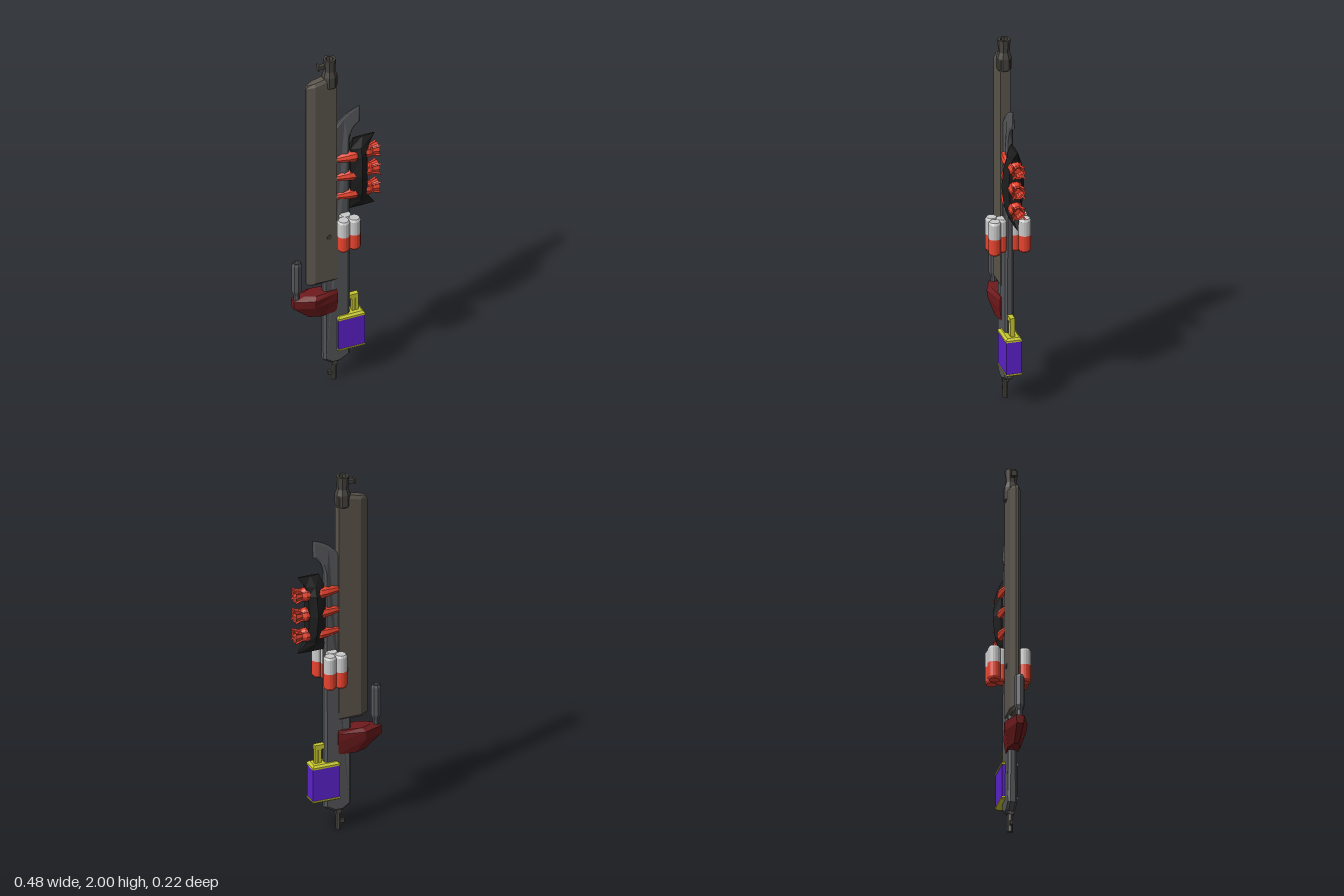
import * as THREE from 'three';

const mat = (color) => new THREE.MeshStandardMaterial({ color, flatShading: true, side: THREE.DoubleSide });
const M = {
  body: mat(0x5b554c), steel: mat(0x55565a), dark: mat(0x47443f), black: mat(0x1e1e1e),
  maroon: mat(0x6e1a1c), red: mat(0xe8432e), white: mat(0xcccccc), purple: mat(0x5c22cc), yellow: mat(0xc8c832),
};

function add(parent, name, geometry, material, x = 0, y = 0, z = 0) {
  const mesh = new THREE.Mesh(geometry, material);
  mesh.name = name;
  mesh.position.set(x, y, z);
  parent.add(mesh);
  return mesh;
}

// Skin closed rings of [x, y, z], listed bottom to top, counterclockwise from above
function loft(rings) {
  const n = rings[0].length, pos = [];
  const tri = (...p) => p.forEach((v) => pos.push(...v));
  for (let r = 0; r < rings.length - 1; r++) {
    for (let i = 0; i < n; i++) {
      const j = (i + 1) % n, a = rings[r], b = rings[r + 1];
      tri(a[i], a[j], b[j]);
      tri(a[i], b[j], b[i]);
    }
  }
  const lo = rings[0], hi = rings[rings.length - 1];
  for (let i = 1; i < n - 1; i++) {
    tri(hi[0], hi[i], hi[i + 1]);
    tri(lo[0], lo[i + 1], lo[i]);
  }
  const g = new THREE.BufferGeometry();
  g.setAttribute('position', new THREE.Float32BufferAttribute(pos, 3));
  g.computeVertexNormals();
  return g;
}

// Six-sided ring: right end, widest point and left end, mirrored in z
const hexRing = (y, [x0, z0], [x1, z1], [x2, z2]) =>
  [[x0, y, z0], [x0, y, -z0], [x1, y, -z1], [x2, y, -z2], [x2, y, z2], [x1, y, z1]];

// Bevelled plate centred on z = 0
function plate(shape, depth, bevel) {
  const g = new THREE.ExtrudeGeometry(shape, {
    depth: depth - 2 * bevel, bevelEnabled: true, bevelThickness: bevel,
    bevelSize: bevel, bevelOffset: -bevel, bevelSegments: 1, curveSegments: 8,
  });
  return g.translate(0, 0, -depth / 2 + bevel);
}

const lathe = (pts, n) => new THREE.LatheGeometry(pts.map((p) => new THREE.Vector2(...p)), n);

function buildStock(root) {
  // Long frame rising into a curved horn
  const s = new THREE.Shape();
  s.moveTo(-0.07, 0.14);
  s.lineTo(-0.025, 0.11);
  s.lineTo(0.02, 0.11);
  s.lineTo(0.075, 0.14);
  s.lineTo(0.075, 1.46);
  s.quadraticCurveTo(0.085, 1.55, 0.135, 1.565);
  s.lineTo(0.135, 1.66);
  s.quadraticCurveTo(0.05, 1.64, 0, 1.57);
  s.lineTo(-0.07, 1.5);
  const g = plate(s, 0.048, 0.012);
  const p = g.attributes.position;
  for (let i = 0; i < p.count; i++) {
    // Thin the horn towards its tip
    const t = THREE.MathUtils.clamp((p.getY(i) - 1.42) / 0.24, 0, 1);
    p.setZ(i, p.getZ(i) * (1 - 0.8 * t));
  }
  g.computeVertexNormals();
  add(root, 'stockFrame', g, M.steel);

  // Tail peg
  add(root, 'tailCollar', new THREE.BoxGeometry(0.03, 0.09, 0.036), M.dark, -0.006, 0.14);
  add(root, 'tailPeg', new THREE.CylinderGeometry(0.016, 0.015, 0.12, 8), M.dark, -0.006, 0.06);
  add(root, 'tailStud', new THREE.BoxGeometry(0.022, 0.022, 0.014), M.dark, -0.027, 0.042);
}

function buildBarrel(root) {
  // Wedge-backed housing with a sloping top
  const ring = (yRight, yLeft, inset) =>
    hexRing(0, [0, 0.027 - inset], [-0.12, 0.027 - inset], [-0.163 + inset, 0.007])
      .map(([x, , z]) => [x, yRight + (yLeft - yRight) * (-x / 0.163), z]);
  add(root, 'barrelHousing', loft([
    ring(0.62, 0.62, 0.014), ring(0.635, 0.638, 0), ring(1.888, 1.85, 0), ring(1.905, 1.868, 0.01),
  ]), M.body);
  const screw = add(root, 'housingScrew', new THREE.CylinderGeometry(0.014, 0.014, 0.06, 10), M.dark, -0.042, 0.905);
  screw.rotation.x = Math.PI / 2;

  // Hollow octagonal muzzle
  const muzzle = add(root, 'muzzle', lathe([
    [0.022, 1.82], [0.039, 1.835], [0.04, 1.9], [0.029, 1.93], [0.034, 2.0], [0.021, 2.0], [0.02, 1.9], [0, 1.9],
  ], 8), M.dark, -0.03);
  muzzle.rotation.y = Math.PI / 8;
  add(root, 'sightArm', new THREE.BoxGeometry(0.035, 0.018, 0.022), M.dark, -0.075, 1.962);
  add(root, 'sightTab', new THREE.BoxGeometry(0.009, 0.03, 0.03), M.dark, -0.093, 1.962);
}

function buildGrip(root) {
  // Faceted bracket carrying an upright handle
  add(root, 'gripBracket', loft([
    hexRing(0.43, [0, 0.022], [-0.09, 0.032], [-0.15, 0.012]),
    hexRing(0.505, [0.004, 0.032], [-0.135, 0.054], [-0.235, 0.018]),
    hexRing(0.55, [0.004, 0.032], [-0.135, 0.06], [-0.235, 0.02]),
    hexRing(0.567, [0, 0.025], [-0.12, 0.04], [-0.175, 0.016]),
  ]), M.maroon);
  add(root, 'gripHandle', lathe([
    [0, 0.53], [0.017, 0.53], [0.017, 0.58], [0.027, 0.61], [0.027, 0.765], [0.021, 0.78], [0.015, 0.78], [0.012, 0.77], [0, 0.77],
  ], 8), M.steel, -0.213);
}

function buildShells(root) {
  // Three spare shells on each side
  for (const side of [-1, 1]) {
    for (const [x, z] of [[0.012, 0.079], [0.072, 0.079], [0.042, 0.035]]) {
      const shell = new THREE.Group();
      shell.name = 'spareShell';
      shell.position.set(x, 0, z * side);
      add(shell, 'shellCap', lathe([[0.033, 0.94], [0.033, 1.02], [0.026, 1.032], [0, 1.032]], 16), M.white);
      add(shell, 'shellBase', lathe([[0, 0.848], [0.026, 0.848], [0.033, 0.86], [0.033, 0.94]], 16), M.red);
      root.add(shell);
    }
  }
}

function buildRack(root) {
  // Rack swelling at the middle, drawn out to spikes at both ends
  const half = [[0, 0.075, 0.125, 0.165, 0.06], [0.11, 0.075, 0.13, 0.168, 0.048], [0.16, 0.08, 0.13, 0.178, 0.032], [0.215, 0.1, 0.15, 0.217, 0.006]];
  const rows = [...half.slice(1).reverse().map(([y, ...r]) => [-y, ...r]), ...half];
  add(root, 'rocketRack', loft(rows.map(([y, x0, x1, x2, z]) =>
    hexRing(1.253 + y, [x2, z * 0.55], [x1, z], [y < -0.2 ? 0.06 : x0, z * 0.5]))), M.black);

  // Rockets pointing towards the frame, with flared tails
  for (const y of [1.367, 1.253, 1.138]) {
    const rocket = new THREE.Group();
    rocket.name = 'rocket';
    rocket.position.y = y;
    const nose = add(rocket, 'rocketNose', lathe([[0, -0.005], [0.02, -0.005], [0.034, 0.065], [0.037, 0.1], [0.024, 0.135], [0, 0.135]].map(([r, l]) => [r, -l]), 10), M.red);
    nose.rotation.z = Math.PI / 2;
    nose.scale.z = 1.2;
    const tail = add(rocket, 'rocketTail', lathe([[0.036, -0.16], [0.036, -0.18], [0.026, -0.2], [0.034, -0.235], [0.026, -0.232], [0.018, -0.2], [0, -0.2]], 10), M.red);
    tail.rotation.z = Math.PI / 2;
    // Swept tail fins
    const fin = new THREE.Shape([[0.17, 0.02], [0.17, 0.04], [0.2, 0.033], [0.24, 0.046], [0.23, 0.02]].map((p) => new THREE.Vector2(...p)));
    for (let i = 0; i < 4; i++) {
      const f = add(rocket, 'rocketFin', plate(fin, 0.008, 0.001), M.red);
      f.rotation.x = Math.PI / 4 + i * Math.PI / 2;
    }
    root.add(rocket);
  }
}

function buildTank(root) {
  // Fuel cell held between two frames
  add(root, 'tankCell', new THREE.BoxGeometry(0.146, 0.19, 0.08), M.purple, 0.075, 0.288);
  const frame = (y0, y1, tip) => {
    const ring = (y, c) => hexRing(y, [0.15 - c, 0.043 - c], [0.075, 0.043 - c], [c, 0.043 - c]);
    return loft(tip > 0 ? [ring(y0, 0), ring((y0 + y1) / 2, 0), ring(y1, 0.012)] : [ring(y0, 0.012), ring((y0 + y1) / 2, 0), ring(y1, 0)]);
  };
  add(root, 'tankTopFrame', frame(0.378, 0.398, 1), M.yellow);
  add(root, 'tankBottomFrame', frame(0.184, 0.2, -1), M.yellow);
  // Feed pipe
  for (const x of [0.098, 0.117]) add(root, 'pipePost', new THREE.BoxGeometry(0.016, 0.1, 0.022), M.yellow, x, 0.445);
  add(root, 'pipeArm', new THREE.BoxGeometry(0.08, 0.026, 0.026), M.yellow, 0.085, 0.487);
}

export function createModel() {
  const root = new THREE.Group();
  root.name = 'rocketLauncher';
  [buildStock, buildBarrel, buildGrip, buildShells, buildRack, buildTank].forEach((build) => build(root));
  return root;
}
